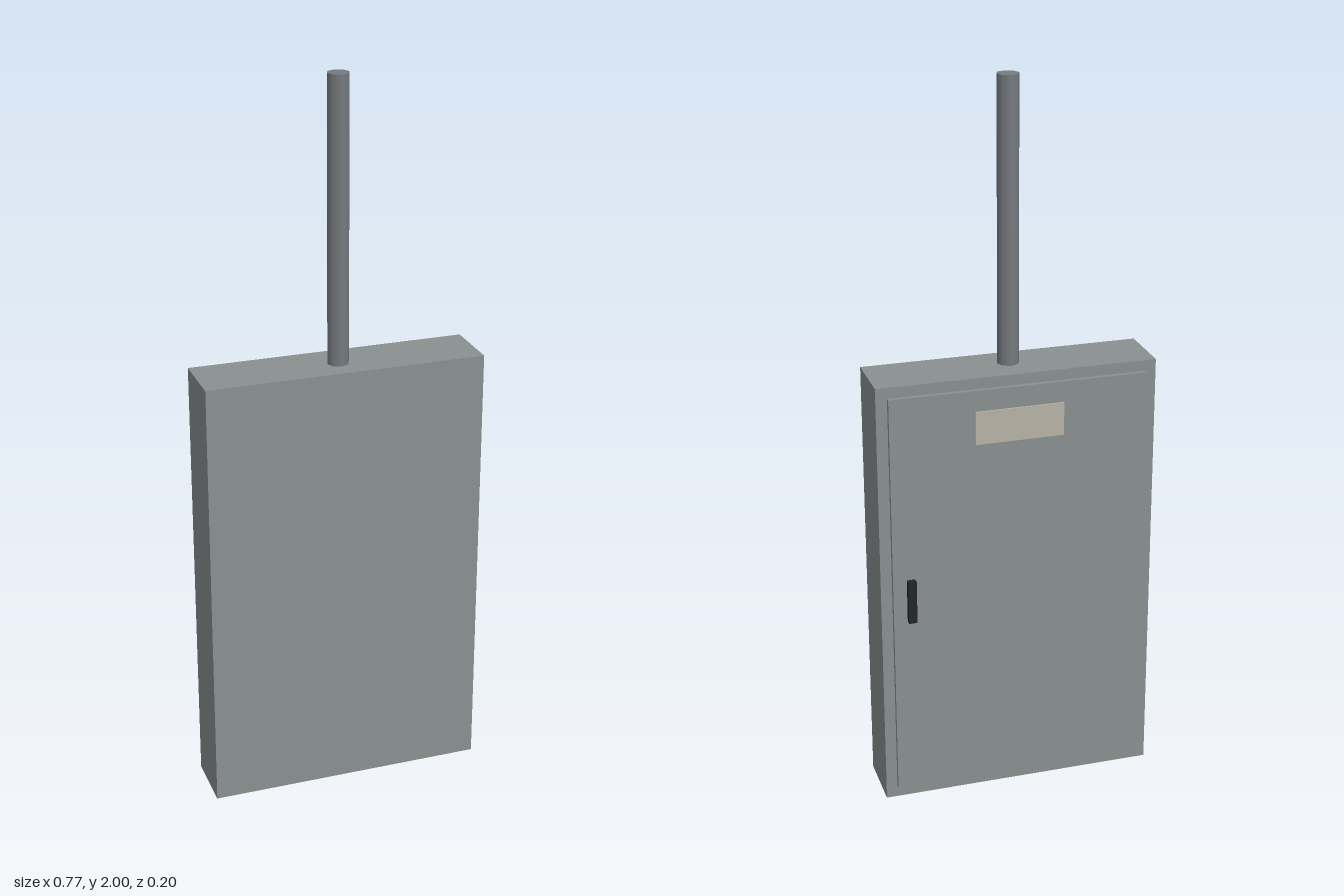
import * as THREE from 'three';

const paint = (color) => new THREE.MeshStandardMaterial({ color });

// Box given by its lower and upper bounds on each axis
function box(name, [x0, x1], [y0, y1], [z0, z1], material) {
  const mesh = new THREE.Mesh(new THREE.BoxGeometry(x1 - x0, y1 - y0, z1 - z0), material);
  mesh.position.set((x0 + x1) / 2, (y0 + y1) / 2, (z0 + z1) / 2);
  mesh.name = name;
  return mesh;
}

export function createModel() {
  const group = new THREE.Group();
  group.name = 'electricalCabinet';
  const steel = paint(0x8a9090);

  // Cabinet with its door, label plate and handle on the back
  group.add(
    box('cabinetBody', [-0.384, 0.384], [0, 1.23], [-0.07, 0.1], steel),
    box('door', [-0.353, 0.353], [0.034, 1.2], [-0.083, -0.07], steel),
    box('labelPlate', [-0.122, 0.122], [1.05, 1.142], [-0.088, -0.083], paint(0xb8b3a6)),
    box('doorHandle', [0.292, 0.315], [0.556, 0.679], [-0.1, -0.083], paint(0x222426))
  );

  // Eight-sided conduit rising from the top
  const conduit = new THREE.Mesh(new THREE.CylinderGeometry(0.03, 0.03, 0.77, 8), paint(0x757b80));
  conduit.position.set(0, 1.615, 0.022);
  conduit.name = 'conduit';
  group.add(conduit);

  return group;
}
